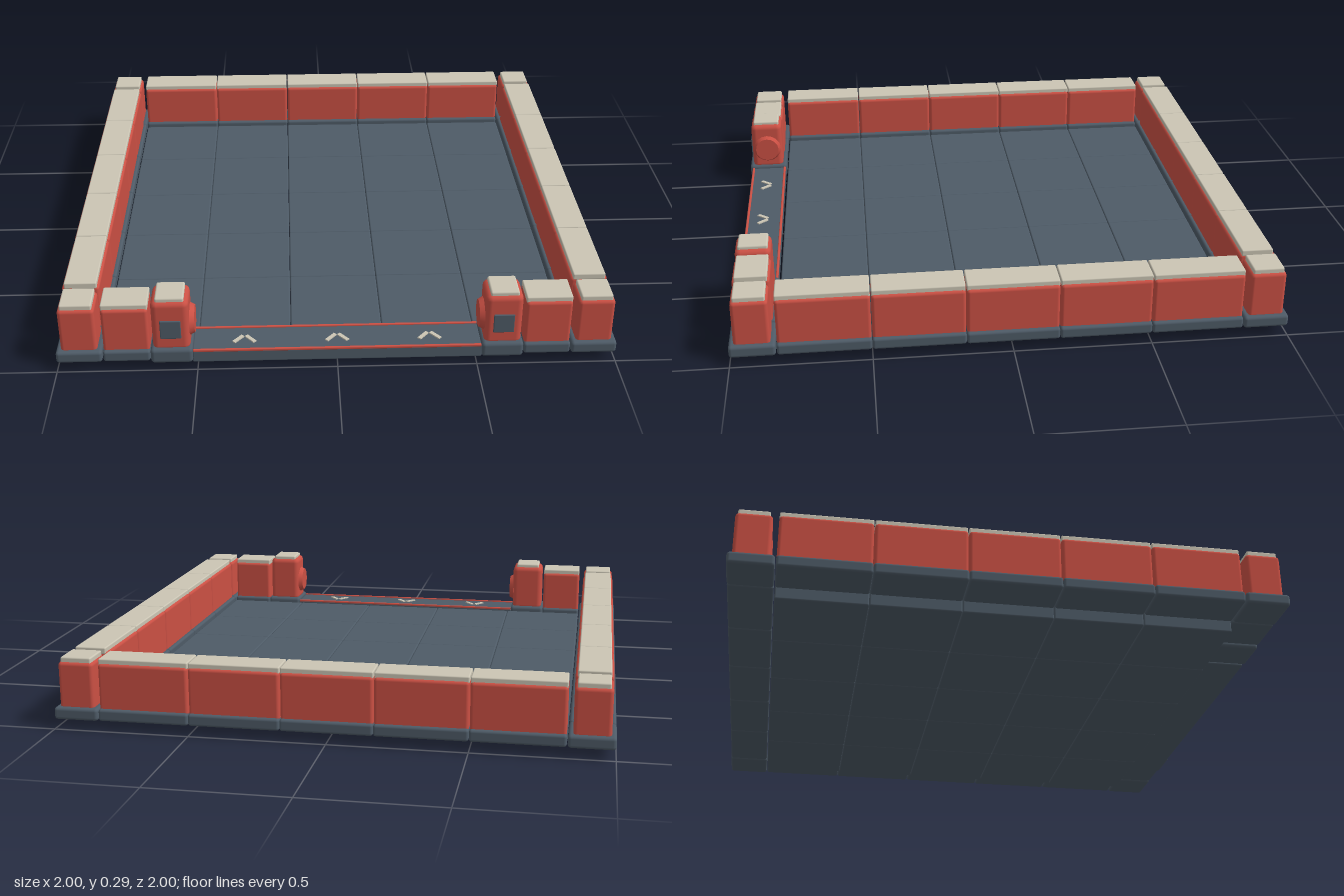
import * as THREE from 'three';
import { RoundedBoxGeometry } from 'three/addons/geometries/RoundedBoxGeometry.js';

const flat = (name, color) => {
  const m = new THREE.MeshStandardMaterial({ color });
  m.name = name;
  return m;
};

export function createModel() {
  const slate = flat('slate', 0x4e5b67);
  const red = flat('brick red', 0xcb5044);
  const cream = flat('cream stone', 0xcbc5b4);

  const model = new THREE.Group();
  model.name = 'walledYard';
  const U = 1 / 3;      // one tile
  const RIM = 0.918;    // centre line of the walls

  // Softly bevelled block between two heights
  const block = (parent, name, mat, w, d, y0, y1, x = 0, z = 0, r = 0.008) => {
    const mesh = new THREE.Mesh(new RoundedBoxGeometry(w, y1 - y0, d, 2, r), mat);
    mesh.position.set(x, (y0 + y1) / 2, z);
    mesh.name = name;
    parent.add(mesh);
    return mesh;
  };
  const group = (name, x, z, ry = 0) => {
    const g = new THREE.Group();
    g.name = name;
    g.position.set(x, 0, z);
    g.rotation.y = ry;
    model.add(g);
    return g;
  };

  // Floor tiles
  for (let i = -2; i <= 2; i++)
    for (let j = -2; j <= 2; j++)
      block(model, 'floorTile', slate, U - 0.001, U - 0.001, 0, 0.065, i * U, j * U, 0.006);

  // Wall piece running along local x, outer face towards local +z
  const wall = (x, z, ry, length) => {
    const g = group('wallSegment', x, z, ry);
    block(g, 'wallBase', slate, length - 0.001, 0.162, 0.038, 0.082, 0, 0, 0.01);
    block(g, 'wallBody', red, length - 0.003, 0.134, 0.07, 0.248, 0, 0, 0.012);
    block(g, 'wallCap', cream, length - 0.004, 0.117, 0.24, 0.265, 0, 0, 0.005);
  };
  for (let i = -2; i <= 2; i++) {
    wall(i * U, -RIM, Math.PI, U);
    wall(RIM, i * U, Math.PI / 2, U);
    wall(-RIM, i * U, -Math.PI / 2, U);
  }

  for (const s of [-1, 1]) {
    // Short front walls beside the gate
    wall(s * 0.749, RIM, 0, 0.168);

    // Corner blocks
    for (const t of [-1, 1]) {
      const c = group('cornerBlock', s * RIM, t * RIM);
      block(c, 'cornerBase', slate, 0.164, 0.164, 0.036, 0.082, 0, 0, 0.012);
      block(c, 'cornerBody', red, 0.13, 0.13, 0.07, 0.248, 0, 0, 0.014);
      block(c, 'cornerCap', cream, 0.113, 0.113, 0.24, 0.265, 0, 0, 0.006);
    }

    // Gate posts with a front panel and a round boss facing the opening
    const p = group('gatePost', s * 0.59, RIM);
    block(p, 'postBase', slate, 0.15, 0.162, 0.026, 0.086, 0, 0, 0.014);
    block(p, 'postBody', red, 0.134, 0.132, 0.07, 0.275, 0, 0, 0.022);
    block(p, 'postCap', cream, 0.102, 0.11, 0.262, 0.287, 0, 0, 0.007);
    block(p, 'postPanel', slate, 0.074, 0.009, 0.126, 0.2, 0, 0.067, 0.003);
    const boss = new THREE.Mesh(new THREE.CylinderGeometry(0.05, 0.06, 0.018, 16), red);
    boss.name = 'postBoss';
    boss.rotation.z = s * Math.PI / 2;
    boss.position.set(-s * 0.075, 0.165, 0);
    p.add(boss);
  }

  // Gate threshold with two red edge strips
  const gate = group('gateThreshold', 0, RIM);
  block(gate, 'thresholdSlab', slate, 1.036, 0.146, 0.022, 0.071, 0, -0.003, 0.006);
  for (const z of [-0.071, 0.066])
    block(gate, 'thresholdStrip', red, 1.03, 0.01, 0.066, 0.076, 0, z, 0.003);

  // Arrow marks pointing into the yard
  for (const x of [-U, 0, U])
    for (const s of [-1, 1]) {
      const bar = new THREE.Mesh(new THREE.BoxGeometry(0.014, 0.006, 0.05), cream);
      bar.name = 'arrowMark';
      bar.position.set(x + s * 0.022, 0.0725, 0.004);
      bar.rotation.y = s * 0.7;
      gate.add(bar);
    }

  return model;
}
